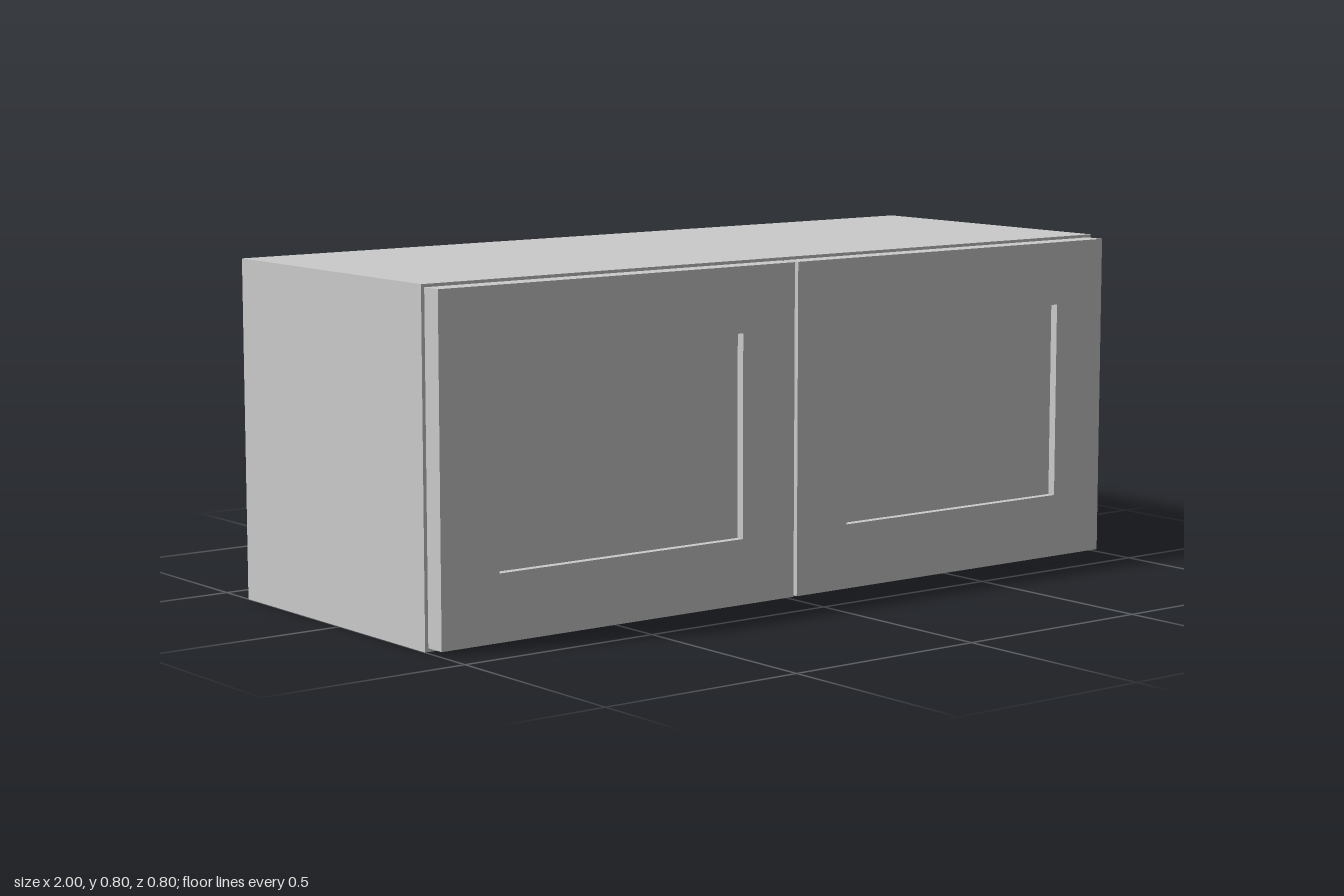
import * as THREE from 'three';

const material = new THREE.MeshStandardMaterial({ color: 0xcccccc });

// Box given by its minimum and maximum corners
function panel(name, min, max) {
  const size = max.map((v, i) => v - min[i]);
  const mesh = new THREE.Mesh(new THREE.BoxGeometry(...size), material);
  mesh.name = name;
  mesh.position.set(...max.map((v, i) => (v + min[i]) / 2));
  return mesh;
}

function rectangle(target, w, h) {
  target.moveTo(-w / 2, -h / 2);
  target.lineTo(w / 2, -h / 2);
  target.lineTo(w / 2, h / 2);
  target.lineTo(-w / 2, h / 2);
  target.closePath();
  return target;
}

// Framed door with a recessed flat centre panel
function createDoor(name, x) {
  const door = new THREE.Group();
  door.name = name;
  const w = 0.985, h = 0.784, depth = 0.052, recess = 0.02;
  const openW = 0.68, openH = 0.476;

  const outline = rectangle(new THREE.Shape(), w, h);
  outline.holes.push(rectangle(new THREE.Path(), openW, openH));
  const frame = new THREE.Mesh(
    new THREE.ExtrudeGeometry(outline, { depth, bevelEnabled: false }), material);
  frame.name = 'doorFrame';

  const centre = panel('doorCentrePanel',
    [-openW / 2, -openH / 2, 0], [openW / 2, openH / 2, depth - recess]);
  door.add(frame, centre);
  door.position.set(x, 0.401, 0.348);
  return door;
}

export function createModel() {
  const cabinet = new THREE.Group();
  cabinet.name = 'wallCabinet';
  const t = 0.045, inner = 1 - t, H = 0.8, back = -0.4, front = 0.347;

  // Carcass: sides run full height, the rest sits between them
  cabinet.add(
    panel('leftSide', [inner, 0, back], [1, H, front]),
    panel('rightSide', [-1, 0, back], [-inner, H, front]),
    panel('topPanel', [-inner, H - t, back], [inner, H, front]),
    panel('bottomPanel', [-inner, 0, back], [inner, t, front]),
    panel('backPanel', [-inner, t, back], [inner, H - t, back + 0.02]),
    panel('shelf', [-inner, 0.38, back + 0.02], [inner, 0.42, front - 0.02]),
  );

  // Pair of doors with a narrow gap between them
  cabinet.add(createDoor('leftDoor', 0.495), createDoor('rightDoor', -0.5));
  return cabinet;
}
